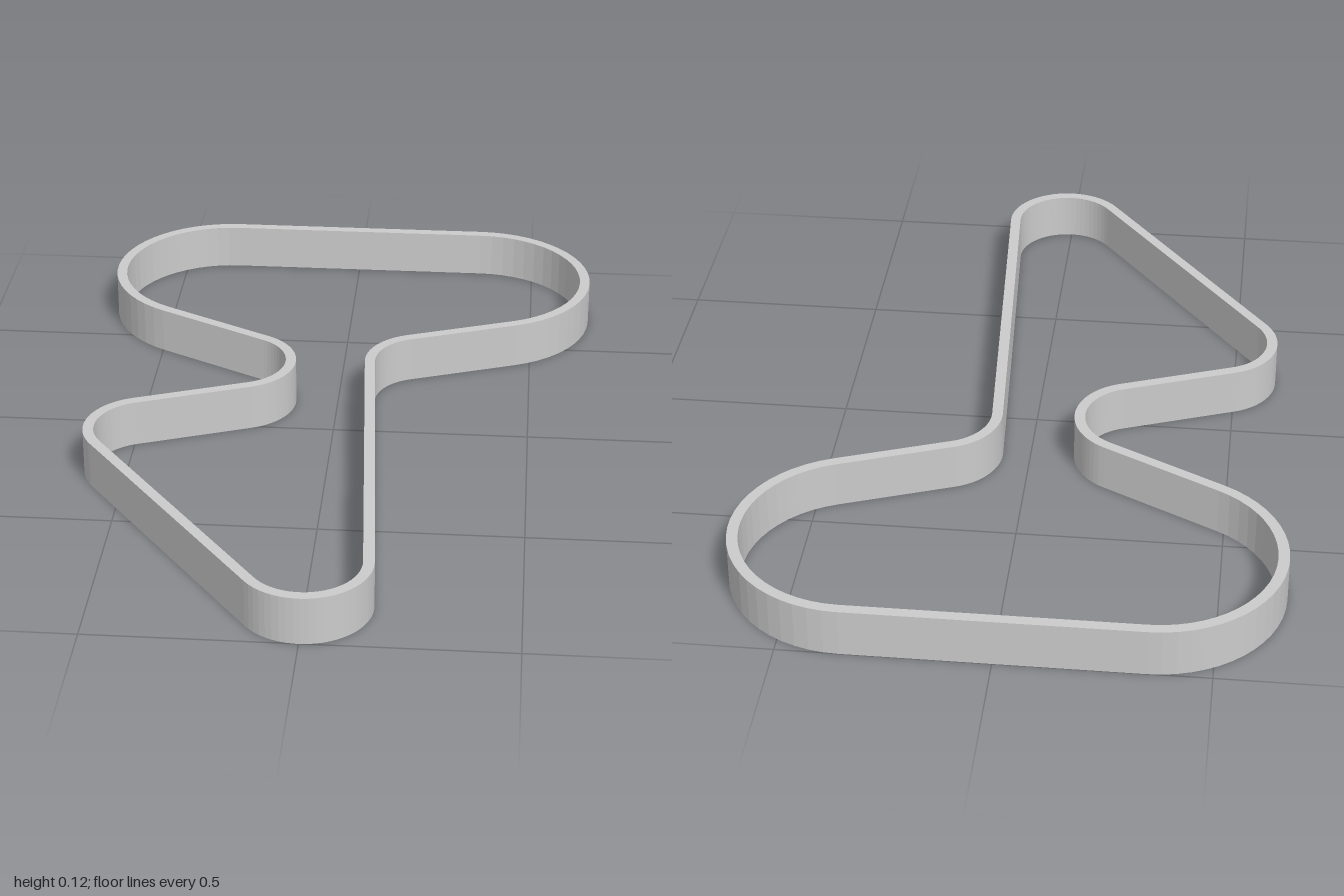
import * as THREE from 'three';

const HEIGHT = 0.12;
const THICKNESS = 0.027;

// Pulleys the belt runs around: centre x, z, mid-line radius, side (+1 inside the loop, -1 outside)
const pulleys = [
  [0, 0.84, 0.147, 1],
  [-0.447, 0.24, 0.147, 1],
  [-0.27, -0.143, 0.147, -1],
  [-0.35, -0.69, 0.297, 1],
  [0.35, -0.69, 0.297, 1],
  [0.23, -0.17, 0.147, -1],
].map(([x, z, r, side]) => ({ x, z, r: r * side, side }));

// Angle of the outward normal of the straight run from pulley a to pulley b
function runNormal(a, b) {
  const dx = b.x - a.x, dz = b.z - a.z;
  return Math.atan2(dz, dx) - Math.acos((a.r - b.r) / Math.hypot(dx, dz));
}

// Closed outline of arcs joined by tangent lines, moved outward by offset
function traceLoop(path, offset) {
  const n = pulleys.length;
  pulleys.forEach((p, i) => {
    const turn = p.side > 0 ? 0 : Math.PI;
    const start = runNormal(pulleys[(i + n - 1) % n], p) + turn;
    const end = runNormal(p, pulleys[(i + 1) % n]) + turn;
    path.absarc(p.x, p.z, Math.abs(p.r + offset), start, end, p.side < 0);
  });
  path.closePath();
  return path;
}

export function createModel() {
  const group = new THREE.Group();
  group.name = 'driveBelt';

  // Belt band: outer outline with the inner outline cut out
  const shape = traceLoop(new THREE.Shape(), THICKNESS / 2);
  shape.holes.push(traceLoop(new THREE.Path(), -THICKNESS / 2));
  const geometry = new THREE.ExtrudeGeometry(shape, {
    depth: HEIGHT, bevelEnabled: false, curveSegments: 12,
  });
  geometry.rotateX(Math.PI / 2).translate(0, HEIGHT, 0);

  const belt = new THREE.Mesh(
    geometry,
    new THREE.MeshStandardMaterial({ color: 0xcccccc, flatShading: true }),
  );
  belt.name = 'beltBand';
  group.add(belt);
  return group;
}
